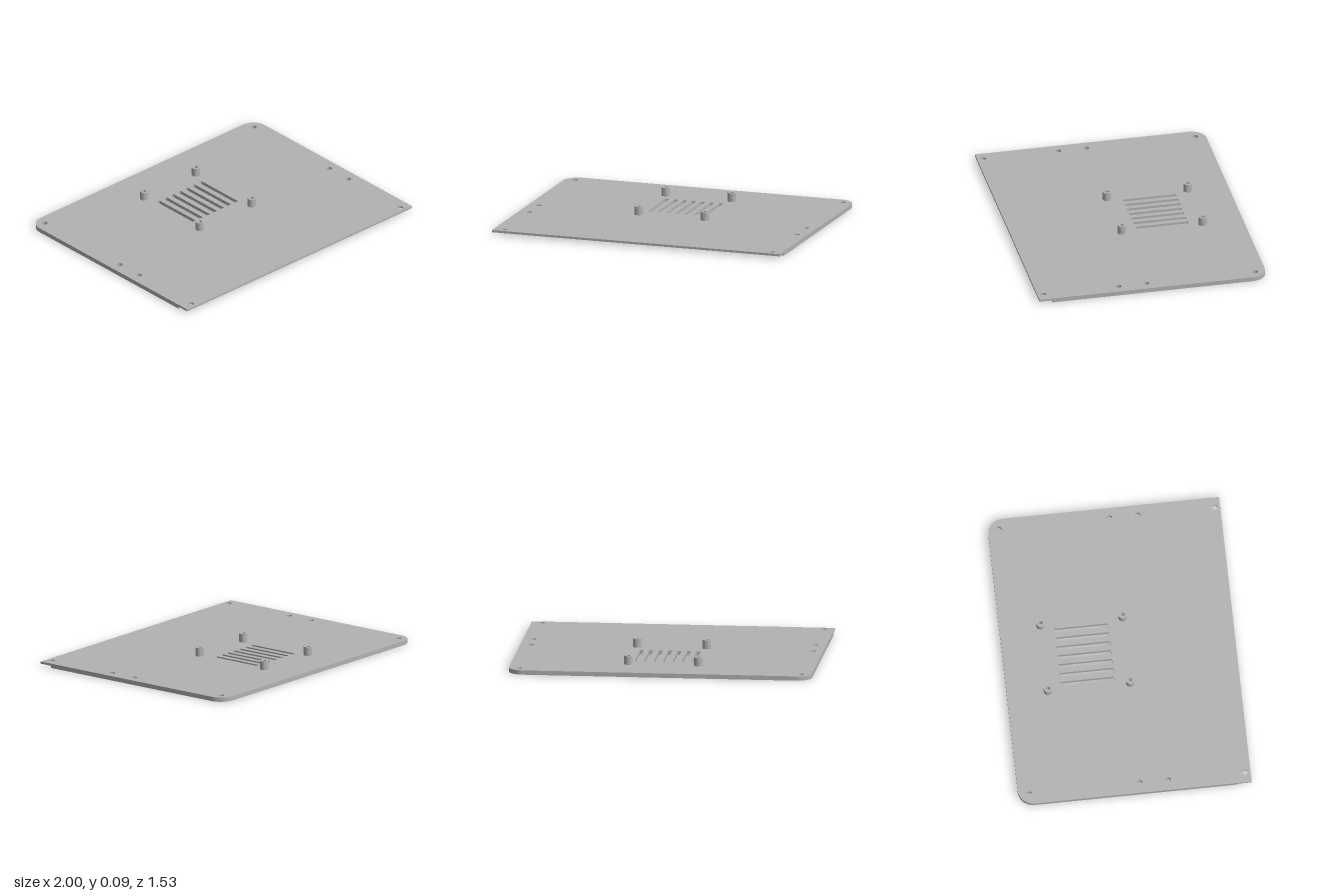
import * as THREE from 'three';
import { toCreasedNormals } from 'three/addons/utils/BufferGeometryUtils.js';

const W = 1, BACK = -0.767, FRONT = 0.767, STEP = 0.68;
const MID = 0.0145, TOP = 0.029, POST_TOP = 0.086, CORNER = 0.1;

// Screw holes down both long sides
const screwZ = [-0.697, 0.035, 0.222, 0.727];

function circleHole(x, z, r) {
  const p = new THREE.Path();
  p.absarc(x, -z, r, 0, Math.PI * 2, true);
  return p;
}

function slotHole(x, z0, z1, w) {
  const h = w / 2;
  return new THREE.Path([
    new THREE.Vector2(x - h, -z0), new THREE.Vector2(x + h, -z0),
    new THREE.Vector2(x + h, -z1), new THREE.Vector2(x - h, -z1),
  ]);
}

// Plate outline with two rounded back corners, screw holes and vent slots
function plateShape(front) {
  const s = new THREE.Shape();
  s.moveTo(-W, -front);
  s.lineTo(W, -front);
  s.lineTo(W, -BACK - CORNER);
  s.absarc(W - CORNER, -BACK - CORNER, CORNER, 0, Math.PI / 2, false);
  s.lineTo(-W + CORNER, -BACK);
  s.absarc(-W + CORNER, -BACK - CORNER, CORNER, Math.PI / 2, Math.PI, false);
  s.closePath();
  for (const side of [-1, 1]) {
    for (const z of screwZ) {
      if (z < front) s.holes.push(circleHole(side * 0.93, z, 0.019));
    }
  }
  for (let i = -3; i <= 3; i++) s.holes.push(slotHole(i * 0.0624, -0.407, -0.053, 0.026));
  return s;
}

function slab(shape, y0, y1) {
  const g = new THREE.ExtrudeGeometry(shape, { depth: y1 - y0, bevelEnabled: false, curveSegments: 16 });
  g.rotateX(-Math.PI / 2);
  g.translate(0, y0, 0);
  return toCreasedNormals(g, 0.6);
}

export function createModel() {
  const model = new THREE.Group();
  model.name = 'ventedCoverPlate';
  const grey = new THREE.MeshStandardMaterial({ color: 0xb2b2b2 });
  grey.name = 'grey';

  const add = (name, geometry) => {
    const mesh = new THREE.Mesh(geometry, grey);
    mesh.name = name;
    model.add(mesh);
    return mesh;
  };

  // Upper layer reaches past the lower one to form the front lip
  add('upperPlate', slab(plateShape(FRONT), MID, TOP));

  // Lower layer, with round foot recesses near the back corners
  const lower = plateShape(STEP);
  for (const side of [-1, 1]) lower.holes.push(circleHole(side * 0.815, -0.582, 0.05));
  add('lowerPlate', slab(lower, 0, MID));

  // Hollow standoffs around the vent
  const profile = [[0.028, TOP], [0.028, POST_TOP], [0.013, POST_TOP], [0.013, TOP]]
    .map(([r, y]) => new THREE.Vector2(r, y));
  const standoff = toCreasedNormals(new THREE.LatheGeometry(profile, 32), 0.6);
  for (const x of [-0.23, 0.23]) {
    for (const z of [-0.495, 0.048]) add('standoff', standoff).position.set(x, 0, z);
  }
  return model;
}
